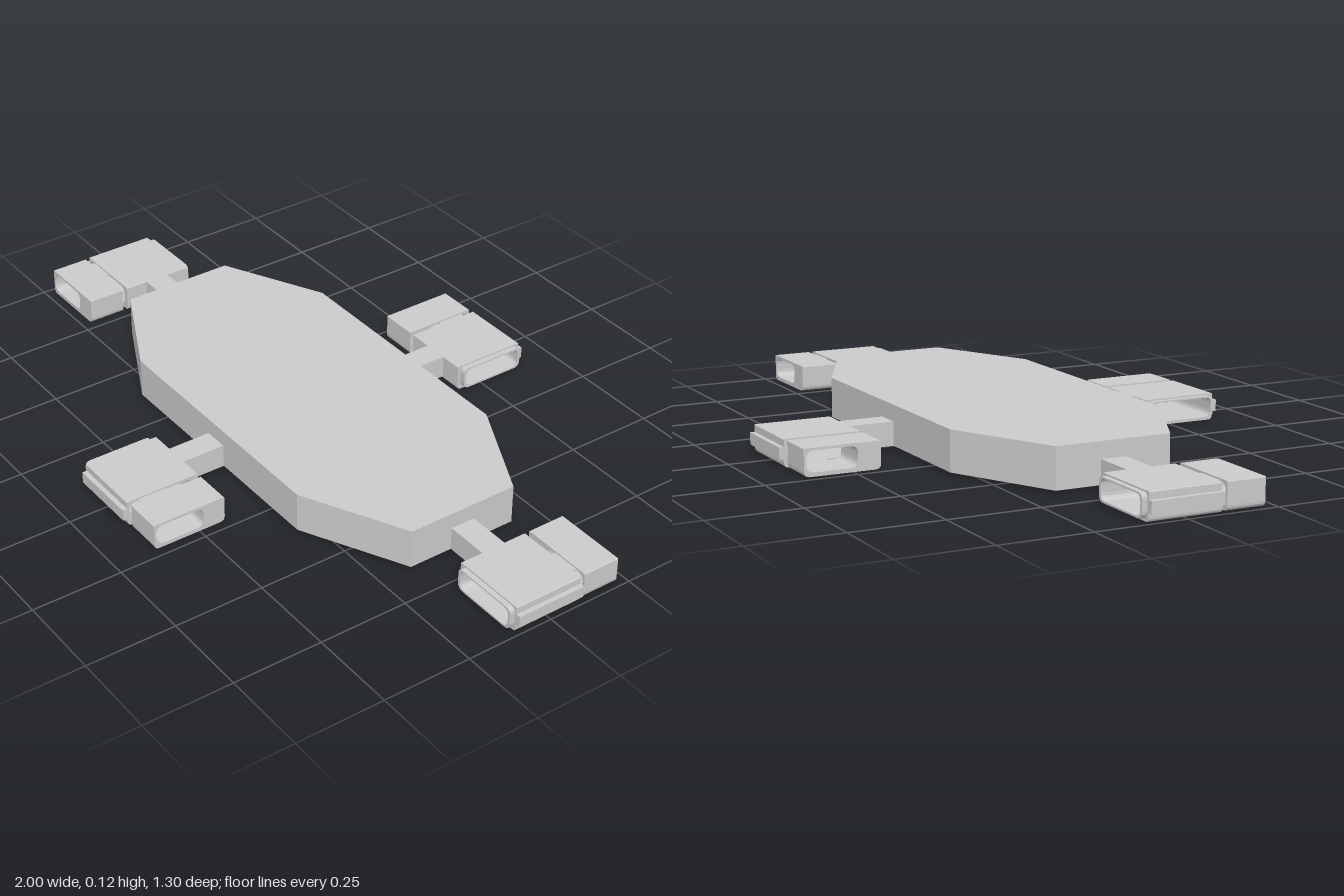
import * as THREE from 'three';

const material = new THREE.MeshStandardMaterial({ color: 0xcccccc, flatShading: true });

function part(name, geometry) {
  const mesh = new THREE.Mesh(geometry, material);
  mesh.name = name;
  return mesh;
}

// Box given by its limits on each axis
function box(name, x0, x1, y0, y1, z0, z1) {
  const g = new THREE.BoxGeometry(x1 - x0, y1 - y0, z1 - z0);
  g.translate((x0 + x1) / 2, (y0 + y1) / 2, (z0 + z1) / 2);
  return part(name, g);
}

// Rectangle in (z, y) with separate lower and upper corner radii
function roundedRect(Target, z0, z1, y0, y1, low, high) {
  const s = new Target();
  const a = -z1, b = -z0;
  s.moveTo(a + low, y0);
  s.lineTo(b - low, y0);
  s.quadraticCurveTo(b, y0, b, y0 + low);
  s.lineTo(b, y1 - high);
  s.quadraticCurveTo(b, y1, b - high, y1);
  s.lineTo(a + high, y1);
  s.quadraticCurveTo(a, y1, a, y1 - high);
  s.lineTo(a, y0 + low);
  s.quadraticCurveTo(a, y0, a + low, y0);
  return s;
}

// Hollow sleeve running along x
function sleeve(name, x0, x1, outer, inner) {
  const shape = roundedRect(THREE.Shape, ...outer);
  shape.holes.push(roundedRect(THREE.Path, ...inner));
  const g = new THREE.ExtrudeGeometry(shape, { depth: x1 - x0, bevelEnabled: false, curveSegments: 4 });
  g.rotateY(Math.PI / 2);
  g.translate(x0, 0, 0);
  return part(name, g);
}

// Side pod: hollow housing and cap on an arm, z pointing outward from the body
function createPod(name, distance, bodyEdge) {
  const pod = new THREE.Group();
  pod.name = name;
  const parts = new THREE.Group();
  parts.name = name + 'Sleeves';
  parts.position.z = distance;
  parts.add(
    sleeve('housing', -0.1, 0.1, [0, 0.213, 0.001, 0.075, 0.012, 0.003], [0.018, 0.205, 0.012, 0.068, 0.018, 0.018]),
    sleeve('liner', -0.115, -0.1, [0.01, 0.207, 0.008, 0.071, 0.02, 0.015], [0.018, 0.2, 0.013, 0.067, 0.018, 0.018]),
    sleeve('cap', 0.115, 0.222, [0, 0.21, 0.001, 0.075, 0.015, 0.003], [0.063, 0.203, 0.012, 0.068, 0.02, 0.02]),
    box('lowerBridge', 0.1, 0.115, 0.003, 0.012, 0.1, 0.18),
    box('upperBridge', 0.1, 0.115, 0.067, 0.071, 0.1, 0.18),
    box('outerLip', -0.1, 0.1, 0.023, 0.055, 0.21, 0.226)
  );
  pod.add(parts, box('arm', -0.035, 0.035, 0.01, 0.075, bodyEdge - 0.02, distance + 0.002));
  return pod;
}

export function createModel() {
  const model = new THREE.Group();
  model.name = 'model';

  // Eight-sided body slab
  const outline = [
    [-0.655, -0.16], [-0.37, -0.303], [0.37, -0.303], [0.655, -0.16],
    [0.655, 0.16], [0.37, 0.303], [-0.37, 0.303], [-0.655, 0.16],
  ].map(([x, z]) => new THREE.Vector2(x, z));
  const slab = new THREE.ExtrudeGeometry(new THREE.Shape(outline), { depth: 0.11, bevelEnabled: false });
  slab.rotateX(-Math.PI / 2);
  slab.translate(0, 0.01, 0);
  model.add(part('body', slab));

  // Four pods, each turned a quarter from the last
  ['frontPod', 'leftPod', 'backPod', 'rightPod'].forEach((name, i) => {
    const pod = i % 2 ? createPod(name, 0.774, 0.655) : createPod(name, 0.424, 0.303);
    pod.rotation.y = (i * Math.PI) / 2;
    model.add(pod);
  });
  return model;
}
